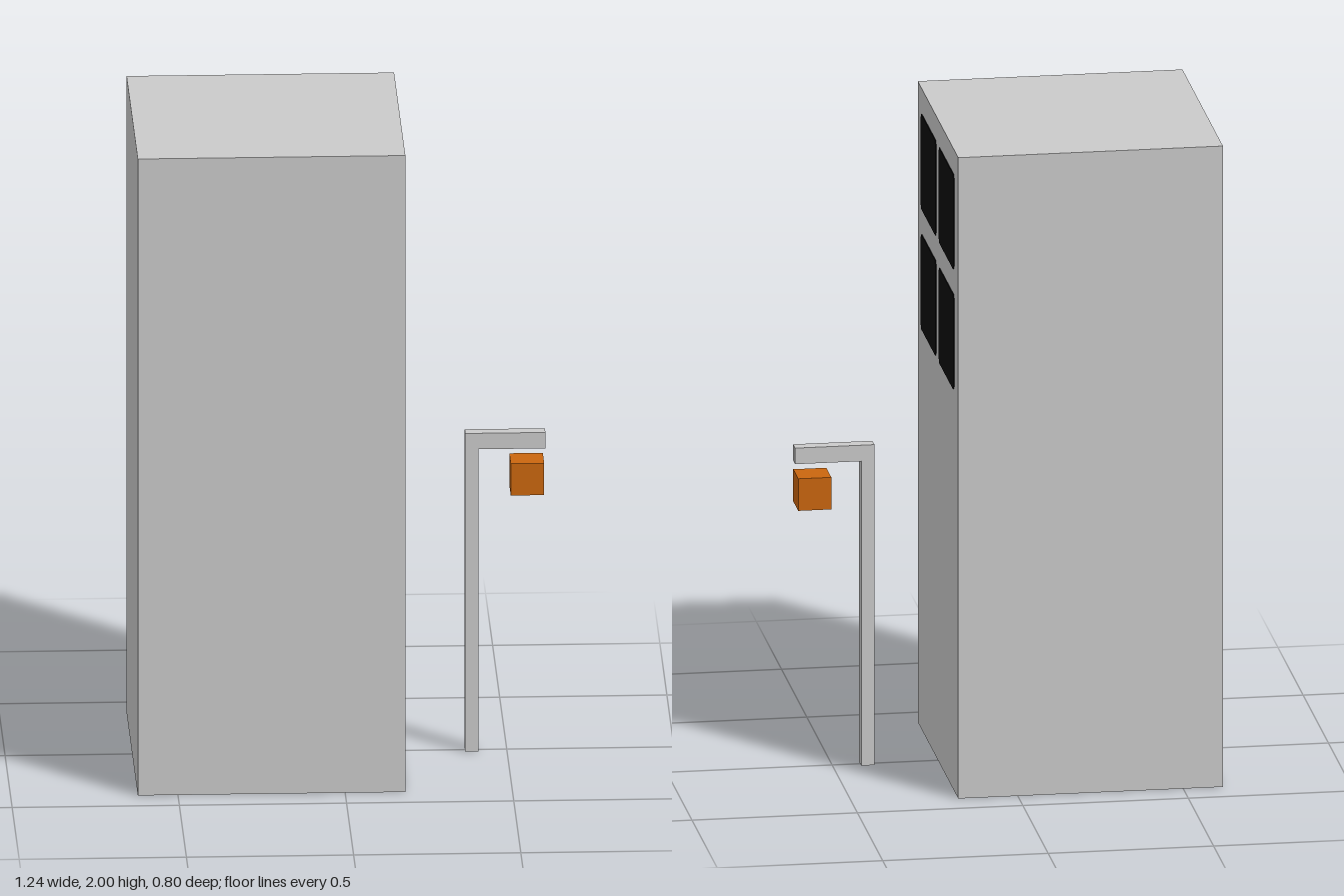
import * as THREE from 'three';

export function createModel() {
  const model = new THREE.Group();
  const grey = new THREE.MeshStandardMaterial({ name: 'concrete grey', color: 0xcacaca });
  const black = new THREE.MeshStandardMaterial({ name: 'window black', color: 0x0d0d0d });
  const orange = new THREE.MeshStandardMaterial({ name: 'lamp orange', color: 0xca660f });

  const add = (name, geometry, material, x, y, z) => {
    const mesh = new THREE.Mesh(geometry, material);
    mesh.name = name;
    mesh.position.set(x, y, z);
    model.add(mesh);
    return mesh;
  };

  // Tower block
  add('tower', new THREE.BoxGeometry(0.8, 2, 0.8), grey, -0.22, 1, 0);

  // Four windows with notched corners, on the +x wall
  const w = 0.148, n = 0.01;
  const pane = new THREE.Shape();
  [[1, 1], [-1, 1], [-1, -1], [1, -1]].forEach(([sx, sy], i) => {
    const corner = [[w, w - n], [w - n, w - n], [w - n, w]];
    if (sx * sy < 0) corner.reverse();
    corner.forEach(([x, y], j) => {
      if (i + j === 0) pane.moveTo(sx * x, sy * y);
      else pane.lineTo(sx * x, sy * y);
    });
  });
  pane.closePath();
  const paneGeometry = new THREE.ExtrudeGeometry(pane, { depth: 0.004, bevelEnabled: false });
  for (const y of [1.4, 1.775]) {
    for (const z of [-0.175, 0.175]) {
      add('window', paneGeometry, black, 0.179, y, z).rotation.y = Math.PI / 2;
    }
  }

  // Street lamp: bent post and arm in one piece
  const post = new THREE.Shape([
    [0.375, 0], [0.415, 0], [0.415, 0.95], [0.615, 0.95], [0.615, 1], [0.375, 1],
  ].map(([x, y]) => new THREE.Vector2(x, y)));
  add('lampPost', new THREE.ExtrudeGeometry(post, { depth: 0.04, bevelEnabled: false }), grey, 0, 0, -0.02);

  // Lamp head floating below the arm
  add('lampHead', new THREE.BoxGeometry(0.1, 0.1, 0.1), orange, 0.56, 0.863, 0);

  return model;
}
